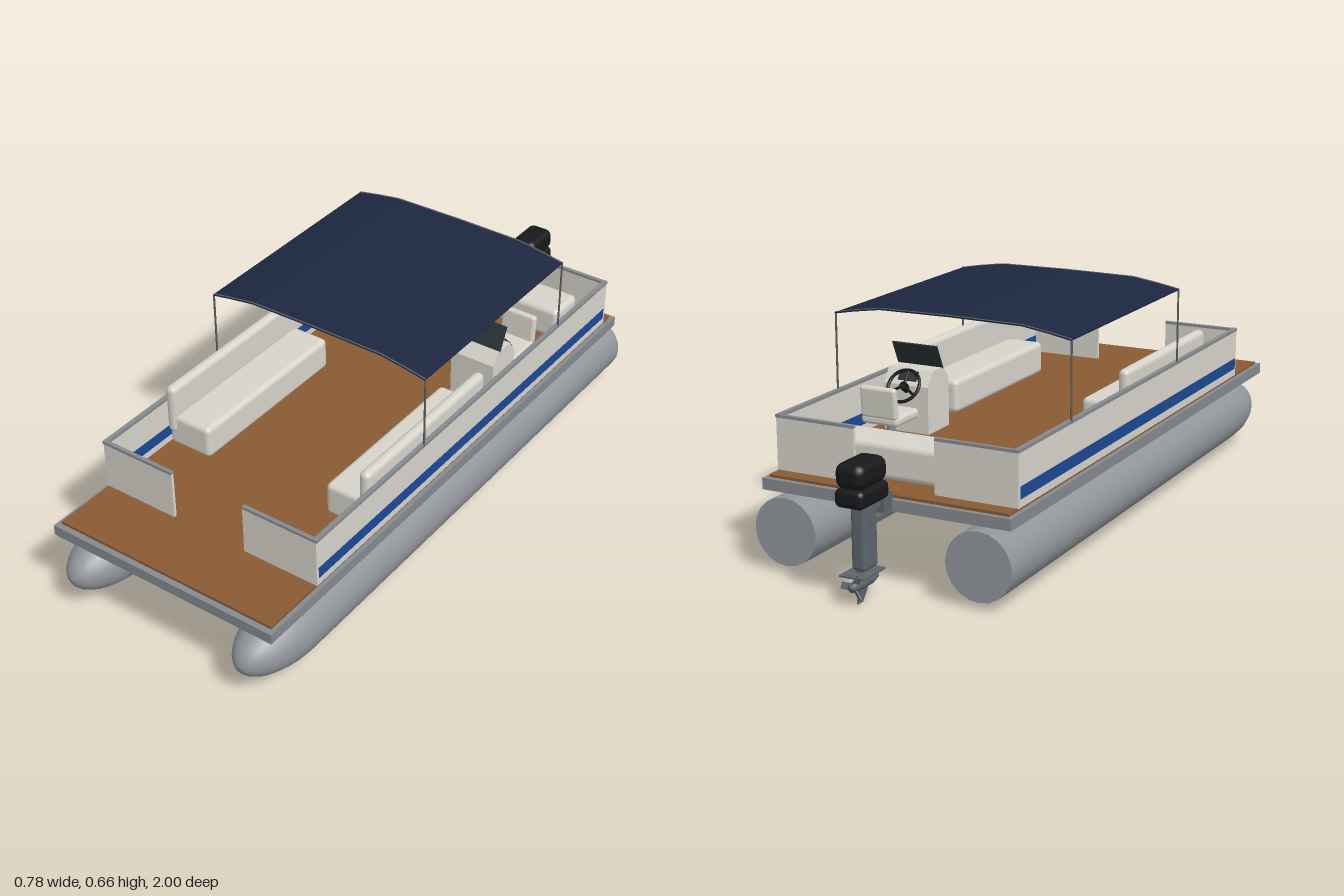
import * as THREE from 'three';
import { RoundedBoxGeometry } from 'three/addons/geometries/RoundedBoxGeometry.js';

const mat = (color, side = THREE.FrontSide) => new THREE.MeshStandardMaterial({ color, side, roughness: 0.7 });

export function createModel() {
  const root = new THREE.Group();
  root.name = 'pontoonBoat';
  const M = {
    metal: mat(0x92969b), frame: mat(0x858a90), dark: mat(0x3c3e42), wood: mat(0x8a5a34),
    cream: mat(0xd6d4ca), blue: mat(0x1b4896), navy: mat(0x1c2740, THREE.DoubleSide),
    black: mat(0x16181a), glass: mat(0x2a3338), motor: mat(0x5d656b), pole: mat(0x5a5d60),
  };
  const add = (name, geo, m, x = 0, y = 0, z = 0, parent = root) => {
    const mesh = new THREE.Mesh(geo, m);
    mesh.name = name;
    mesh.position.set(x, y, z);
    parent.add(mesh);
    return mesh;
  };
  // Boxes are given by their extents along each axis
  const box = (name, m, [x0, x1], [y0, y1], [z0, z1], r = 0) => {
    const s = [x1 - x0, y1 - y0, z1 - z0];
    const geo = r ? new RoundedBoxGeometry(...s, 3, r) : new THREE.BoxGeometry(...s);
    return add(name, geo, m, (x0 + x1) / 2, (y0 + y1) / 2, (z0 + z1) / 2);
  };
  const span = (s, a, b) => (s > 0 ? [a, b] : [-b, -a]);
  const tube = (name, pts, r, m, parent = root) => {
    const path = new THREE.CurvePath();
    const v = pts.map((p) => new THREE.Vector3(...p));
    for (let i = 1; i < v.length; i++) path.add(new THREE.LineCurve3(v[i - 1], v[i]));
    return add(name, new THREE.TubeGeometry(path, 8 * (v.length - 1), r, 8), m, 0, 0, 0, parent);
  };

  // Pontoons: straight tube, rounded nose and flat stern cap
  const R = 0.096;
  const profile = [new THREE.Vector2(R, -0.85)];
  for (let i = 0; i <= 10; i++) {
    const a = (i / 10) * Math.PI / 2;
    profile.push(new THREE.Vector2(R * Math.cos(a), 0.78 + 0.22 * Math.sin(a)));
  }
  for (const s of [-1, 1]) {
    add('pontoon', new THREE.LatheGeometry(profile, 20).rotateX(Math.PI / 2), M.metal, s * 0.292, 0.114, 0);
    add('pontoonCap', new THREE.CircleGeometry(R, 20).rotateY(Math.PI), M.metal, s * 0.292, 0.114, -0.85);
  }

  // Deck
  box('deckFrame', M.frame, [-0.375, 0.375], [0.216, 0.248], [-0.83, 0.965]);
  box('deckUnderside', M.dark, [-0.365, 0.365], [0.213, 0.217], [-0.82, 0.955]);
  box('deckFloor', M.wood, [-0.362, 0.362], [0.247, 0.256], [-0.815, 0.947]);

  // Fence panels, stripes and top rails
  for (const s of [-1, 1]) {
    box('sidePanel', M.cream, span(s, 0.355, 0.365), [0.255, 0.402], [-0.765, 0.75]);
    box('sideStripe', M.blue, span(s, 0.3535, 0.3665), [0.278, 0.312], [-0.76, 0.746]);
    box('sideRail', M.frame, span(s, 0.353, 0.367), [0.402, 0.411], [-0.771, 0.756]);
    for (const z of [-0.765, 0.75]) {
      box('endPanel', M.cream, span(s, 0.122, 0.365), [0.255, 0.402], [z - 0.005, z + 0.005]);
      box('endRail', M.frame, span(s, 0.122, 0.365), [0.402, 0.41], [z - 0.006, z + 0.006]);
    }
    // Side lounges
    box('loungeSeat', M.cream, span(s, 0.205, 0.352), [0.256, 0.358], [-0.07, 0.5], 0.016);
    box('loungeBack', M.cream, span(s, 0.32, 0.354), [0.3, 0.456], [-0.075, 0.508], 0.016);
  }
  box('rearBench', M.cream, [-0.292, 0.292], [0.256, 0.358], [-0.722, -0.594], 0.018);

  // Helm console: side profile extruded across x
  const side = new THREE.Shape([
    [0.18, 0.256], [0.3, 0.256], [0.3, 0.395], [0.27, 0.437], [0.21, 0.437], [0.18, 0.4],
  ].map((p) => new THREE.Vector2(...p)));
  add('console', new THREE.ExtrudeGeometry(side, { depth: 0.146, bevelEnabled: false }).rotateY(Math.PI / 2),
    M.cream, 0.17, 0, 0);
  const shield = add('windshield', new THREE.BoxGeometry(0.148, 0.078, 0.005), M.glass, 0.243, 0.47, -0.23);
  shield.rotation.x = -0.44;
  const dash = add('dashDisplay', new THREE.BoxGeometry(0.06, 0.03, 0.006), M.glass, 0.243, 0.419, -0.284);
  dash.rotation.x = 0.62;

  // Steering wheel
  const wheel = new THREE.Group();
  wheel.name = 'steeringWheel';
  wheel.position.set(0.243, 0.396, -0.312);
  wheel.rotation.x = 0.65;
  root.add(wheel);
  add('wheelRim', new THREE.TorusGeometry(0.05, 0.005, 8, 28), M.black, 0, 0, 0, wheel);
  add('wheelHub', new THREE.CylinderGeometry(0.012, 0.012, 0.03, 12).rotateX(Math.PI / 2), M.black, 0, 0, 0.01, wheel);
  for (let i = 0; i < 3; i++) {
    const a = Math.PI / 2 + i * Math.PI * 2 / 3;
    tube('wheelSpoke', [[0, 0, 0], [0.05 * Math.cos(a), 0.05 * Math.sin(a), 0]], 0.004, M.black, wheel);
  }

  // Helm chair
  add('chairBase', new THREE.CylinderGeometry(0.035, 0.038, 0.008, 16), M.frame, 0.243, 0.26, -0.385);
  add('chairPost', new THREE.CylinderGeometry(0.012, 0.012, 0.06, 12), M.frame, 0.243, 0.288, -0.385);
  box('chairSeat', M.cream, [0.183, 0.303], [0.312, 0.342], [-0.45, -0.325], 0.012);
  const back = box('chairBack', M.cream, [0.185, 0.301], [0.332, 0.425], [-0.456, -0.434], 0.01);
  back.rotation.x = -0.08;

  // Canopy: bent sheet over two bows with posts
  const arch = [[-0.365, 0.631], [-0.3, 0.643], [-0.22, 0.655], [0, 0.657], [0.22, 0.655], [0.3, 0.643], [0.365, 0.631]];
  const sheet = new THREE.Shape([
    ...arch, ...arch.map(([x, y]) => [x, y - 0.004]).reverse(),
  ].map((p) => new THREE.Vector2(...p)));
  add('canopy', new THREE.ExtrudeGeometry(sheet, { depth: 0.73, bevelEnabled: false }), M.navy, 0, 0, -0.47);
  for (const z of [-0.467, 0.257]) {
    tube('canopyBow', arch.map(([x, y]) => [x, y - 0.001, z]), 0.003, M.pole);
    for (const s of [-1, 1]) tube('canopyPost', [[s * 0.365, 0.405, z], [s * 0.365, 0.631, z]], 0.003, M.pole);
  }

  // Outboard motor
  box('motorBracket', M.motor, [-0.03, 0.03], [0.222, 0.272], [-0.87, -0.828]);
  box('motorMount', M.motor, [-0.018, 0.018], [0.24, 0.268], [-0.92, -0.86]);
  box('lowerCowl', M.black, [-0.043, 0.043], [0.264, 0.314], [-0.995, -0.857], 0.016);
  box('upperCowl', M.black, [-0.043, 0.043], [0.312, 0.381], [-0.995, -0.86], 0.025);
  box('motorLeg', M.motor, [-0.022, 0.022], [0.085, 0.27], [-0.953, -0.886], 0.012);
  box('cavitationPlate', M.motor, [-0.037, 0.037], [0.077, 0.082], [-0.985, -0.88]);
  box('lowerLeg', M.motor, [-0.009, 0.009], [0.05, 0.09], [-0.95, -0.895]);
  const caseProfile = [[0, -0.99], [0.012, -0.985], [0.016, -0.95], [0.016, -0.9], [0.01, -0.87], [0, -0.856]]
    .map((p) => new THREE.Vector2(...p));
  add('gearCase', new THREE.LatheGeometry(caseProfile, 16).rotateX(Math.PI / 2), M.motor, 0, 0.052, 0);
  const fin = new THREE.Shape([[0.9, 0.045], [0.95, 0.045], [0.96, 0], [0.935, 0]].map((p) => new THREE.Vector2(...p)));
  add('skeg', new THREE.ExtrudeGeometry(fin, { depth: 0.004, bevelEnabled: false }).rotateY(Math.PI / 2), M.motor, -0.002, 0, 0);

  // Propeller
  const prop = new THREE.Group();
  prop.name = 'propeller';
  prop.position.set(0, 0.052, -0.975);
  root.add(prop);
  for (let i = 0; i < 3; i++) {
    const blade = new THREE.BoxGeometry(0.026, 0.018, 0.003).rotateX(0.6).translate(0.024, 0, 0);
    add('propellerBlade', blade, M.motor, 0, 0, 0, prop).rotation.z = i * Math.PI * 2 / 3;
  }
  return root;
}
